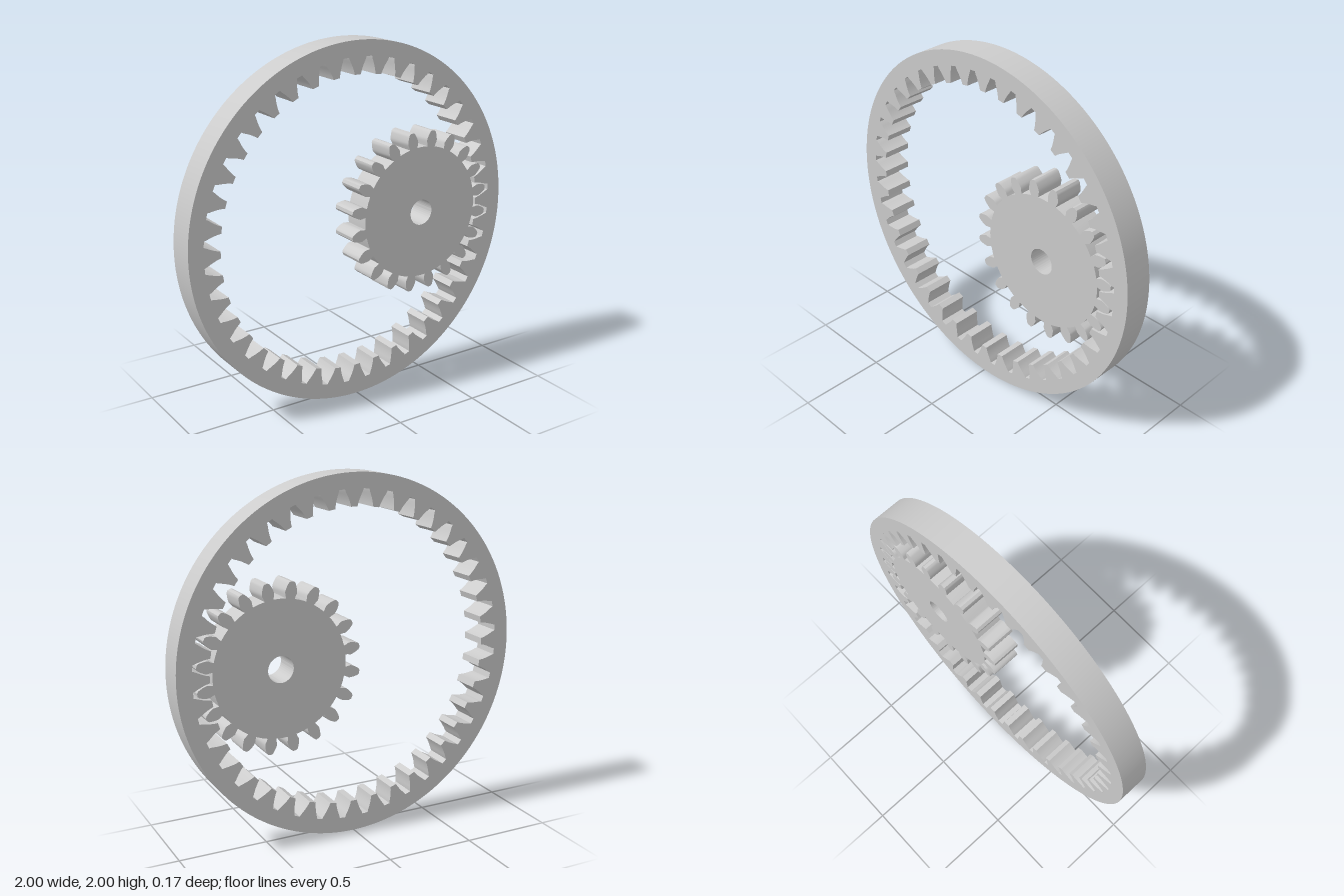
import * as THREE from 'three';
import { toCreasedNormals } from 'three/addons/utils/BufferGeometryUtils.js';

const THICKNESS = 0.166;

// Involute function for a point at radius r on base circle rb
function involute(rb, r) {
  const a = Math.acos(Math.min(1, rb / r));
  return Math.tan(a) - a;
}

// Closed gear outline: profile lists [radius, half angle] along one flank, from root to tip
function gearOutline(teeth, phase, profile) {
  const points = [];
  const at = (r, a) => points.push(new THREE.Vector2(r * Math.cos(a), r * Math.sin(a)));
  for (let i = 0; i < teeth; i++) {
    const mid = phase + (i * 2 * Math.PI) / teeth;
    profile.forEach(([r, h]) => at(r, mid - h));
    [...profile].reverse().forEach(([r, h]) => at(r, mid + h));
    // middle of the root land keeps it on its circle
    at(profile[0][0], mid + Math.PI / teeth);
  }
  return points;
}

// Flat plate cut from a shape, centred in z, smooth on curved walls
function plate(name, shape, material) {
  const geometry = new THREE.ExtrudeGeometry(shape, {
    depth: THICKNESS, bevelEnabled: false, curveSegments: 128,
  });
  geometry.translate(0, 0, -THICKNESS / 2);
  const mesh = new THREE.Mesh(toCreasedNormals(geometry, 0.5), material);
  mesh.name = name;
  return mesh;
}

function circle(Type, radius) {
  return new Type().absarc(0, 0, radius, 0, 2 * Math.PI, false);
}

export function createModel() {
  const group = new THREE.Group();
  group.name = 'internalGearPair';
  const material = new THREE.MeshStandardMaterial({ color: 0xcccccc });
  const cos20 = Math.cos(Math.PI / 9);
  const inv20 = involute(cos20, 1);
  const backlash = 0.008;

  // Ring gear: 40 inward teeth, widening towards the rim
  const ringPitch = 0.86;
  const ringProfile = [0.915, 0.9, 0.885, 0.87, 0.855, 0.84, 0.822].map((r) => [
    r, Math.PI / 80 - backlash / 2 + involute(ringPitch * cos20, r) - inv20,
  ]);
  ringProfile[0][1] -= 0.003;
  const ringShape = circle(THREE.Shape, 1);
  ringShape.holes.push(new THREE.Path(gearOutline(40, 0, ringProfile)));
  const ring = plate('ringGear', ringShape, material);
  ring.position.y = 1;
  group.add(ring);

  // Pinion: 20 leaf-shaped teeth with undercut roots, meshing on the +x side
  const pinionPitch = 0.43;
  const pinionProfile = [[0.378, 0.066], [0.393, 0.073]];
  for (const r of [0.41, 0.423, 0.436, 0.449, 0.46]) {
    pinionProfile.push([r, Math.PI / 40 - backlash - involute(pinionPitch * cos20, r) + inv20]);
  }
  pinionProfile.push([0.467, 0.02]);
  const pinionShape = new THREE.Shape(gearOutline(20, Math.PI / 20, pinionProfile));
  pinionShape.holes.push(circle(THREE.Path, 0.073));
  const pinion = plate('pinionGear', pinionShape, material);
  pinion.position.set(0.43, 1, 0);
  group.add(pinion);

  return group;
}
